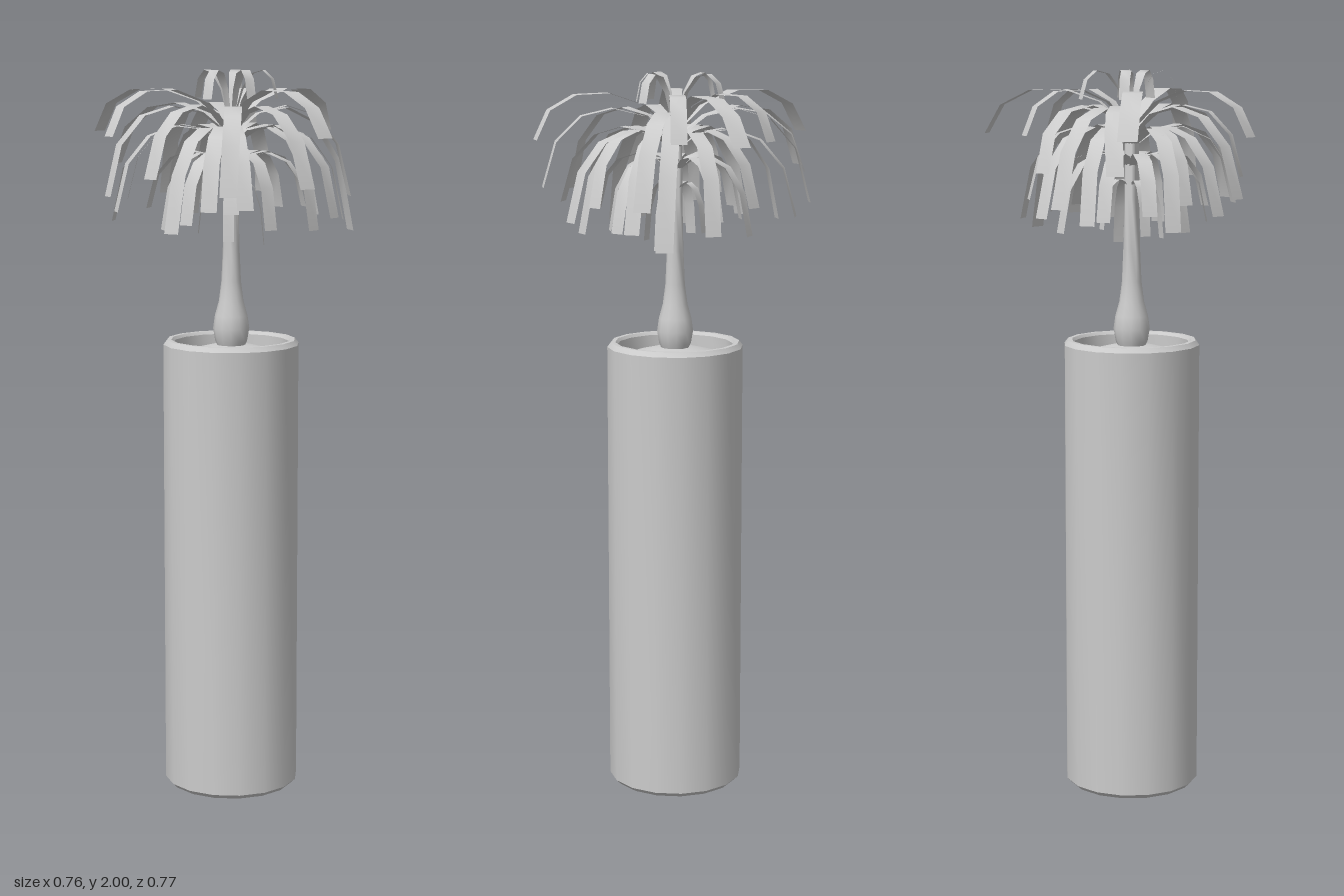
import * as THREE from 'three';
import { toCreasedNormals } from 'three/addons/utils/BufferGeometryUtils.js';

const AXIS_X = -0.013;
const grey = new THREE.MeshStandardMaterial({ color: 0xcccccc, side: THREE.DoubleSide });

function lathe(name, profile, segments, crease) {
  const points = profile.map(([r, y]) => new THREE.Vector2(r, y));
  const geometry = toCreasedNormals(new THREE.LatheGeometry(points, segments), crease);
  const mesh = new THREE.Mesh(geometry, grey);
  mesh.name = name;
  mesh.position.x = AXIS_X;
  return mesh;
}

// Arching ribbon from the crown to a tip; bend curves it sideways.
function leaf(angle, reach, width, startY, archY, tipY, bend) {
  const ux = Math.cos(angle), uz = Math.sin(angle);
  const curve = new THREE.CubicBezierCurve(
    new THREE.Vector2(0.008, startY),
    new THREE.Vector2(reach * 0.3, archY),
    new THREE.Vector2(reach * 0.93, archY),
    new THREE.Vector2(reach, tipY));
  const segments = 5, positions = [], index = [];
  for (let i = 0; i <= segments; i++) {
    const t = i / segments;
    const p = curve.getPoint(t);
    const half = width / 2 * (0.4 + 0.6 * Math.min(1, t * 2.5));
    for (const side of [-1, 1]) {
      const off = bend * Math.sin(Math.PI * t) + side * half;
      positions.push(AXIS_X + ux * p.x - uz * off, p.y, uz * p.x + ux * off);
    }
    if (i < segments) {
      const a = i * 2;
      index.push(a, a + 1, a + 2, a + 1, a + 3, a + 2);
    }
  }
  const geometry = new THREE.BufferGeometry();
  geometry.setAttribute('position', new THREE.Float32BufferAttribute(positions, 3));
  geometry.setIndex(index);
  geometry.computeVertexNormals();
  const mesh = new THREE.Mesh(geometry, grey);
  mesh.name = 'leaf';
  return mesh;
}

// Leaf aimed at a tip position.
function leafTo(x, z, ...shape) {
  return leaf(Math.atan2(z, x - AXIS_X), Math.hypot(x - AXIS_X, z), ...shape);
}

function createCrown() {
  const crown = new THREE.Group();
  crown.name = 'crown';

  // Short upright leaves at the very top
  const topTips = [[-0.055, -0.11], [0.075, -0.12], [-0.01, 0.105], [0.075, 0.095], [-0.12, 0.06]];
  for (const [x, z] of topTips) crown.add(leafTo(x, z, 0.028, 1.87, 2.035, 1.925, 0));

  // Long spreading leaves: tip x, tip z, sideways bend
  const spreading = [
    [-0.225, -0.375, -0.01], [0.37, -0.135, 0.02], [0.05, 0.38, 0.02],
    [-0.38, -0.005, 0.01], [0.26, 0.015, 0], [0.18, -0.235, 0],
  ];
  for (const [x, z, bend] of spreading) {
    crown.add(leafTo(x, z, 0.03 + 0.05 * Math.hypot(x, z), 1.85, 1.99, 1.83, bend));
  }

  // Long drooping leaves: tip x, tip z, tip height
  const drooping = [
    [-0.015, -0.37, 1.65], [0.05, -0.345, 1.74], [0.295, 0.115, 1.66],
    [-0.365, -0.045, 1.67], [-0.305, 0.085, 1.72], [-0.18, -0.36, 1.74],
    [-0.175, 0.27, 1.68], [0.01, 0.36, 1.7], [0.335, 0.06, 1.56],
  ];
  drooping.forEach(([x, z, tipY], i) => {
    crown.add(leafTo(x, z, 0.046, 1.83, 1.95, tipY, i % 2 ? 0.015 : -0.01));
  });

  // Middle leaves, by azimuth in degrees
  const azimuths = [-75, -42, -13, 27, 52, 63, 68, 113, 131, 151, 194, 209, 220, 263];
  azimuths.forEach((degrees, i) => {
    const reach = 0.305 + 0.025 * Math.cos(i * 2.6);
    const tipY = 1.62 + 0.04 * Math.sin(i * 1.9);
    crown.add(leaf(degrees * Math.PI / 180, reach, 0.043, 1.8, 1.89, tipY, 0.01 * Math.sin(i * 2)));
  });

  // Lower ring and small hanging leaves close to the trunk
  for (let i = 0; i < 10; i++) {
    const reach = 0.21 + 0.03 * Math.sin(i * 2.4);
    crown.add(leaf(i * Math.PI / 5 + 0.2, reach, 0.04, 1.74, 1.81, 1.6 + 0.03 * Math.cos(i * 2), 0));
  }
  for (let i = 0; i < 4; i++) {
    crown.add(leaf(i * Math.PI / 2 + 0.6, 0.09, 0.03, 1.68, 1.73, 1.53 + 0.015 * i, 0));
  }
  return crown;
}

export function createModel() {
  const model = new THREE.Group();
  model.name = 'pottedPalm';

  // Tall cylindrical planter with chamfered edges and a recessed rim
  model.add(lathe('planter', [
    [0, 0], [0.175, 0], [0.188, 0.013], [0.188, 1.257], [0.178, 1.27],
    [0.166, 1.27], [0.16, 1.262], [0.16, 1.2],
  ], 16, 0.6));

  // Soil mound
  model.add(lathe('soil', [[0.161, 1.222], [0.12, 1.237], [0.06, 1.252], [0, 1.258]], 16, 0.9));

  // Trunk with a swollen base
  model.add(lathe('trunk', [
    [0.03, 1.235], [0.044, 1.265], [0.05, 1.3], [0.045, 1.335], [0.034, 1.375], [0.027, 1.43],
    [0.023, 1.52], [0.02, 1.66], [0.019, 1.82], [0.012, 1.88], [0, 1.89],
  ], 12, 1.2));

  model.add(createCrown());
  return model;
}
